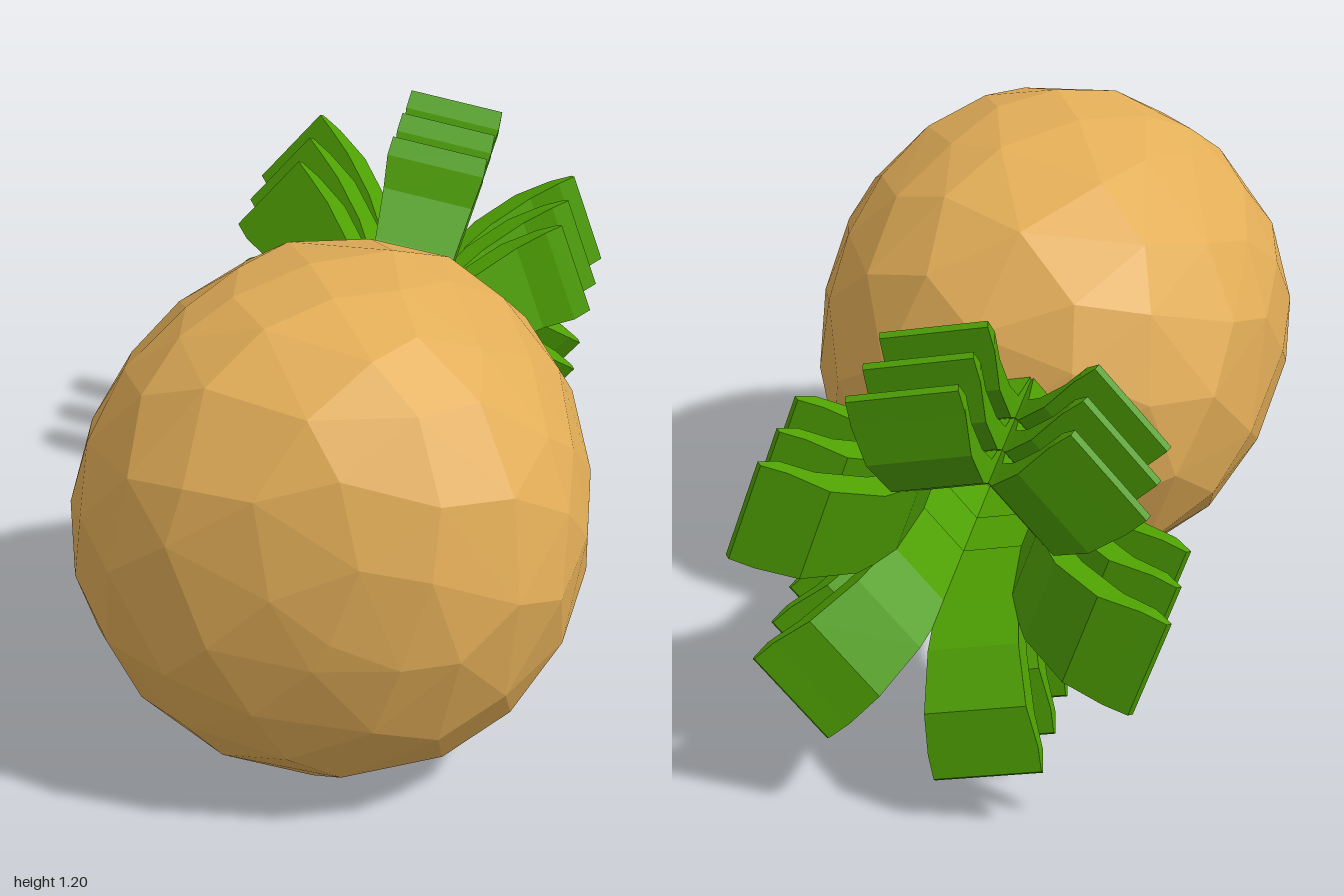
import * as THREE from 'three';
import { ConvexGeometry } from 'three/addons/geometries/ConvexGeometry.js';

const CENTRE_Y = 0.6;

// Small seeded generator for the irregular facets
function seeded(seed) {
  return () => {
    seed = (seed * 16807) % 2147483647;
    return seed / 2147483647 - 0.5;
  };
}

// Barrel-like fruit: jittered spiral of points on a squarish ellipsoid that
// narrows toward the crown, wrapped in flat facets
function fruitGeometry() {
  const rand = seeded(77);
  const count = 130;
  const golden = Math.PI * (3 - Math.sqrt(5));
  const points = [];
  for (let i = 0; i < count; i++) {
    const c = THREE.MathUtils.clamp(1 - (2 * (i + 0.5 + rand() * 3)) / count, -0.99, 0.99);
    const s = Math.sqrt(1 - c * c);
    const a = i * golden + (rand() * 0.14) / s;
    const p = c > 0 ? 2.4 : 2.8;
    const k = Math.pow(Math.abs(c) ** p + s ** p, -1 / p);
    const taper = c > 0 ? 1 : 1 + 0.07 * c * k;
    const r = 0.604 * s * k * taper;
    const z = 0.48 + c * k * (c > 0 ? 0.52 : 0.735);
    points.push(new THREE.Vector3(r * Math.cos(a), r * Math.sin(a), z));
  }
  return new ConvexGeometry(points);
}

// One thick leaf: stations of [outer radius, outer z, inner radius, inner z, width]
function leafGeometry() {
  const stations = [
    [0.155, -0.24, 0.12, -0.24, 0.17],
    [0.19, -0.42, 0.14, -0.44, 0.19],
    [0.255, -0.51, 0.2, -0.56, 0.21],
    [0.36, -0.595, 0.31, -0.65, 0.235],
    [0.44, -0.625, 0.41, -0.66, 0.255],
    [0.48, -0.655, 0.47, -0.667, 0.25],
  ];
  const positions = [];
  const index = [];
  stations.forEach(([ro, zo, ri, zi, w], i) => {
    const h = w / 2;
    positions.push(ro, h, zo, ro, -h, zo, ri, -h, zi, ri, h, zi);
    if (i === 0) return;
    const b = i * 4;
    for (let k = 0; k < 4; k++) {
      const n = (k + 1) % 4;
      index.push(b - 4 + k, b - 4 + n, b + n, b - 4 + k, b + n, b + k);
    }
  });
  const e = (stations.length - 1) * 4;
  index.push(e, e + 1, e + 2, e, e + 2, e + 3, 0, 2, 1, 0, 3, 2);
  const indexed = new THREE.BufferGeometry();
  indexed.setAttribute('position', new THREE.Float32BufferAttribute(positions, 3));
  indexed.setIndex(index);
  const geometry = indexed.toNonIndexed();
  geometry.computeVertexNormals();
  return geometry;
}

export function createModel() {
  const model = new THREE.Group();
  model.name = 'pineapple';

  const skin = new THREE.MeshStandardMaterial({ color: 0xe3ae58, flatShading: true });
  const green = new THREE.MeshStandardMaterial({ color: 0x4ea002, flatShading: true });

  // Fruit lying on its side
  const fruit = new THREE.Mesh(fruitGeometry(), skin);
  fruit.name = 'fruit';
  fruit.position.y = CENTRE_Y;
  model.add(fruit);

  // Crown: three nested tiers of six leaves
  const crown = new THREE.Group();
  crown.name = 'crown';
  crown.position.y = CENTRE_Y;
  const leaf = leafGeometry();
  for (let t = 0; t < 3; t++) {
    const tier = new THREE.Group();
    tier.name = `leafTier${t + 1}`;
    tier.position.z = -0.1665 * t;
    for (let i = 0; i < 6; i++) {
      const mesh = new THREE.Mesh(leaf, green);
      mesh.name = 'leaf';
      mesh.rotation.z = THREE.MathUtils.degToRad(19 + i * 60);
      tier.add(mesh);
    }
    crown.add(tier);
  }
  model.add(crown);

  return model;
}
